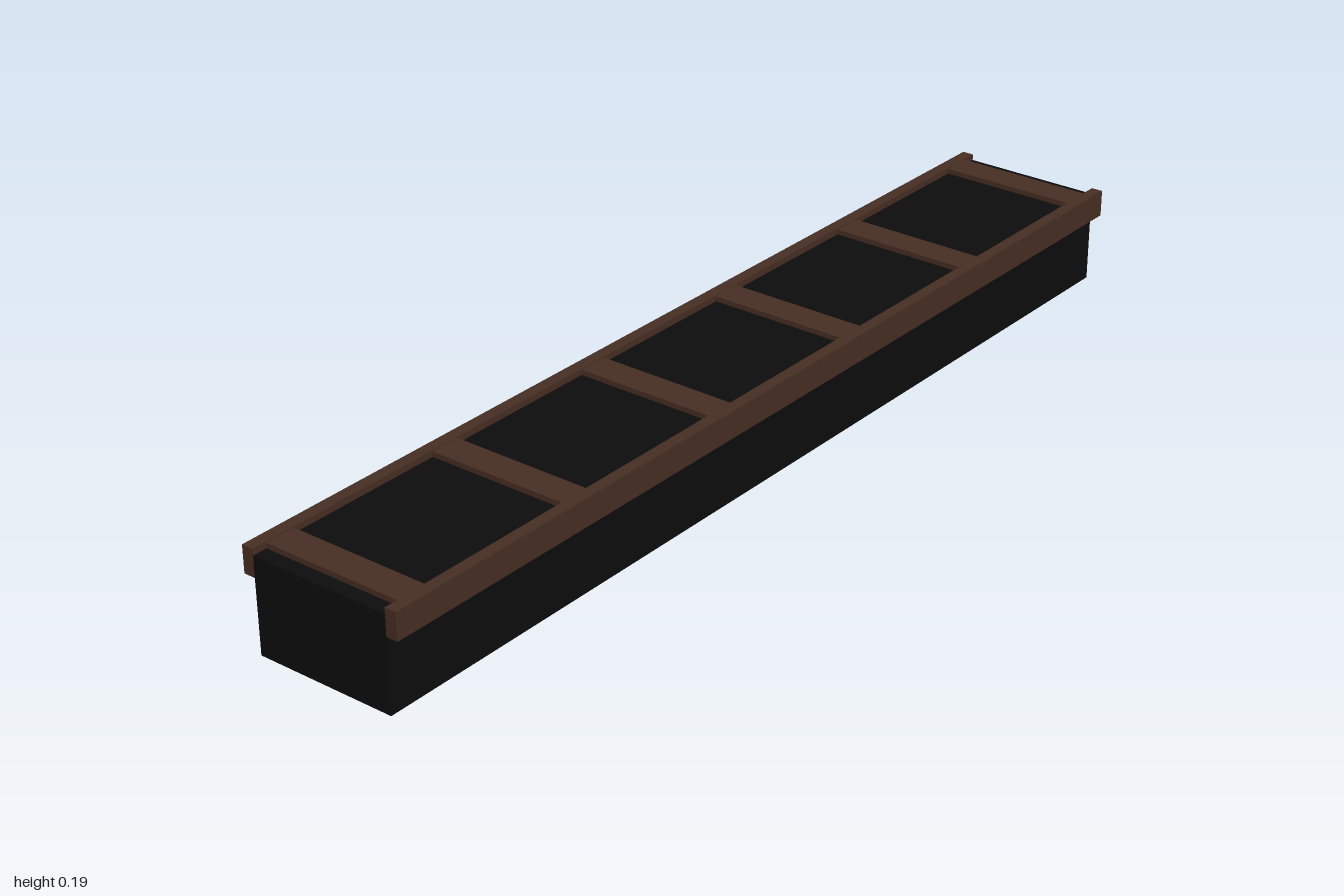
import * as THREE from 'three';

export function createModel() {
  const model = new THREE.Group();
  const black = new THREE.MeshStandardMaterial({ name: 'black', color: 0x0d0d0d });
  const brown = new THREE.MeshStandardMaterial({ name: 'dark brown wood', color: 0x472e23 });

  const box = (name, material, size, position) => {
    const mesh = new THREE.Mesh(new THREE.BoxGeometry(...size), material);
    mesh.name = name;
    mesh.position.set(...position);
    model.add(mesh);
  };

  // Long trough body
  box('body', black, [2, 0.181, 0.28], [0, 0.0905, 0]);

  // Rails along both long upper edges
  for (const [name, side] of [['frontRail', 1], ['backRail', -1]]) {
    box(name, brown, [2, 0.052, 0.023], [0, 0.167, side * 0.1515]);
  }

  // Six evenly spaced slats across the top
  for (let i = 0; i < 6; i++) {
    box(`slat${i + 1}`, brown, [0.06, 0.01, 0.28], [(i - 2.5) * 0.3765, 0.186, 0]);
  }

  return model;
}
